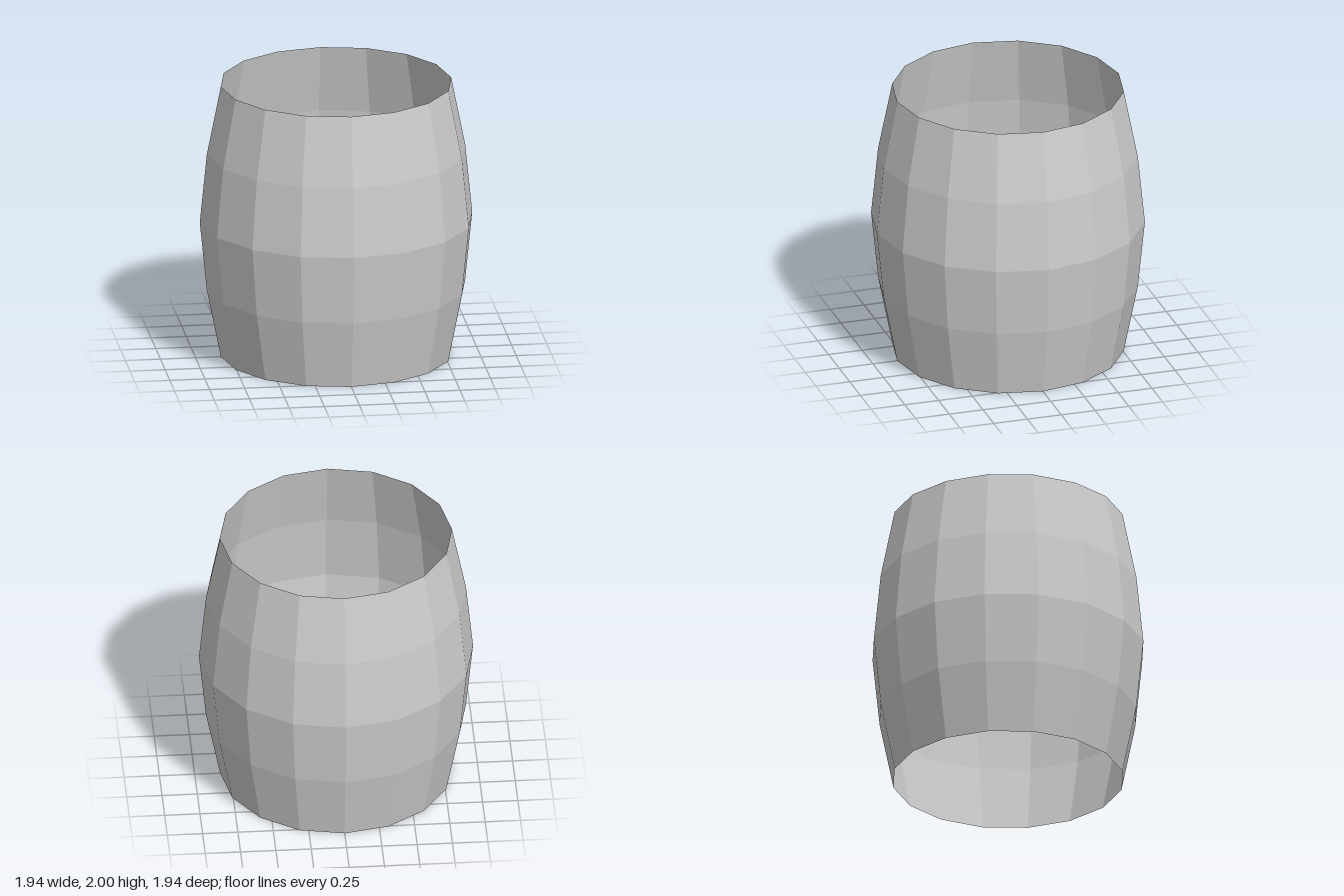
import * as THREE from 'three';

export function createModel() {
  const group = new THREE.Group();
  group.name = 'barrel';

  const grey = new THREE.MeshStandardMaterial({
    color: 0xcccccc, flatShading: true, side: THREE.DoubleSide,
  });
  grey.name = 'light grey';

  // Bulging sixteen-sided wall, open at the top and bottom
  const profile = [[0.82, 0], [0.92, 0.5], [0.97, 1], [0.92, 1.5], [0.82, 2]]
    .map(([radius, y]) => new THREE.Vector2(radius, y));
  const geometry = new THREE.LatheGeometry(profile, 16).toNonIndexed();
  geometry.computeVertexNormals();

  const wall = new THREE.Mesh(geometry, grey);
  wall.name = 'barrelWall';
  group.add(wall);
  return group;
}
